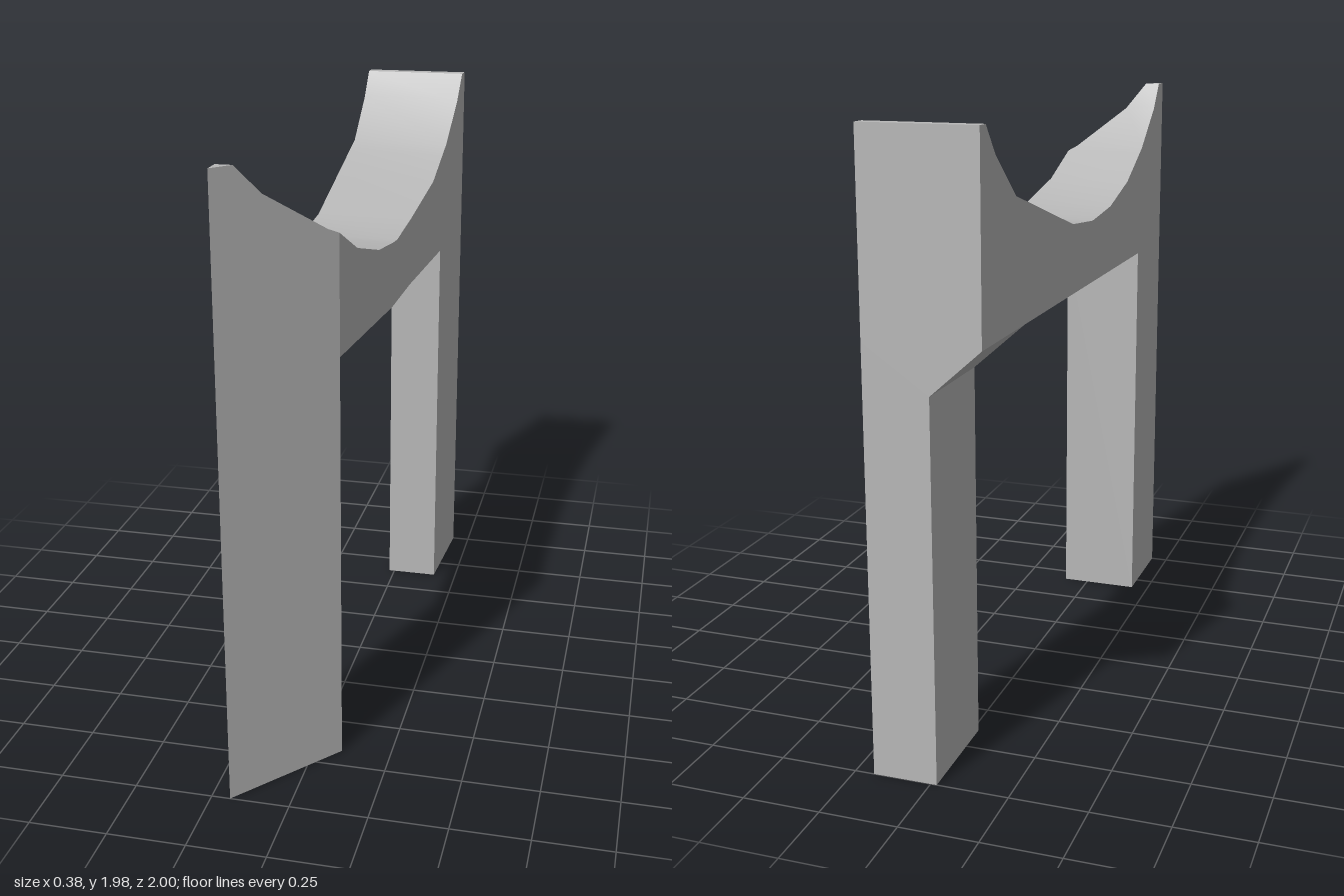
import * as THREE from 'three';
import { toCreasedNormals } from 'three/addons/utils/BufferGeometryUtils.js';

const SPAN_Y = 1.364; // underside of the beam

// Plan outline: outer (+x) side as [z, x] points, inner (-x) side nearly straight
const OUTER = [[-1, 0.187], [-0.64, 0.165], [-0.16, 0.142], [0.13, 0.137], [0.67, 0.09], [1, -0.19]];

function outerX(z) {
  for (let i = 1; i < OUTER.length; i++) {
    const [z0, x0] = OUTER[i - 1], [z1, x1] = OUTER[i];
    if (z <= z1) return x0 + (x1 - x0) * (z - z0) / (z1 - z0);
  }
  return OUTER[OUTER.length - 1][1];
}
const innerX = (z) => -0.185 - 0.005 * z;

// Joins matching rings of [x, y, z] points (ordered by rising z) and caps both ends
function loft(rings) {
  const pos = [];
  const tri = (a, b, c) => pos.push(...a, ...b, ...c);
  for (let i = 0; i < rings.length - 1; i++) {
    const a = rings[i], b = rings[i + 1], n = a.length;
    for (let k = 0; k < n; k++) {
      const m = (k + 1) % n;
      tri(a[k], b[k], b[m]);
      tri(a[k], b[m], a[m]);
    }
  }
  const first = rings[0], last = rings[rings.length - 1];
  for (let k = 1; k < first.length - 1; k++) {
    tri(first[0], first[k], first[k + 1]);
    tri(last[0], last[k + 1], last[k]);
  }
  const g = new THREE.BufferGeometry();
  g.setAttribute('position', new THREE.Float32BufferAttribute(pos, 3));
  return toCreasedNormals(g, 0.6);
}

export function createModel() {
  const group = new THREE.Group();
  const grey = new THREE.MeshStandardMaterial({ color: 0xb8b8b8 });
  grey.name = 'plain grey';
  const add = (name, rings) => {
    const mesh = new THREE.Mesh(loft(rings), grey);
    mesh.name = name;
    group.add(mesh);
  };

  // Beam with the scooped top: [z, top at inner side, top at outer side]
  const scoop = [
    [-1, 1.98, 1.98], [-0.955, 1.98, 1.98], [-0.88, 1.89, 1.89], [-0.71, 1.755, 1.755],
    [-0.64, 1.735, 1.72], [-0.5, 1.694, 1.655], [-0.16, 1.595, 1.595], [0.06, 1.575, 1.575],
    [0.13, 1.581, 1.581], [0.28, 1.595, 1.595], [0.5, 1.655, 1.655], [0.67, 1.742, 1.742],
    [0.7, 1.758, 1.758], [0.87, 1.89, 1.89], [0.94, 1.98, 1.98], [1, 1.98, 1.98],
  ];
  add('scoopedBeam', scoop.map(([z, yIn, yOut]) => [
    [innerX(z), SPAN_Y, z], [innerX(z), yIn, z], [outerX(z), yOut, z], [outerX(z), SPAN_Y, z],
  ]));

  // Back leg, narrower than the beam, with a sloping shoulder under the overhang
  add('backLeg', [-1, -0.64].map((z) => [
    [outerX(z), SPAN_Y, z], [outerX(z), 0, z], [-0.02, 0, z], [-0.02, 1.22, z], [innerX(z), SPAN_Y, z],
  ]));

  // Wedge-shaped front leg, tapering to the front corner
  add('frontLeg', [0.67, 1].map((z) => [
    [innerX(z), 0, z], [innerX(z), SPAN_Y, z], [outerX(z), SPAN_Y, z], [outerX(z), 0, z],
  ]));

  return group;
}
